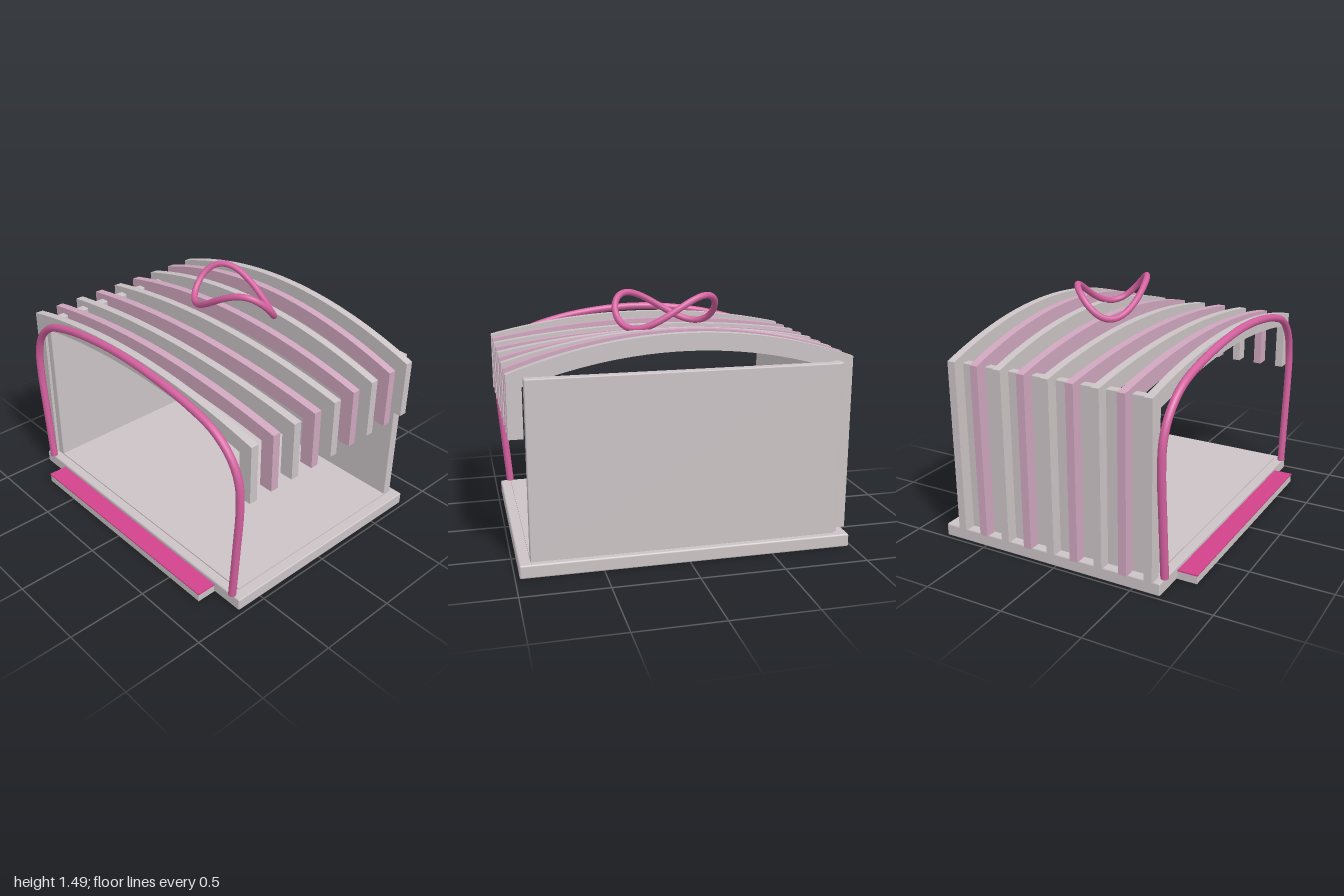
import * as THREE from 'three';
import { RoundedBoxGeometry } from 'three/addons/geometries/RoundedBoxGeometry.js';

export function createModel() {
  const model = new THREE.Group();
  const mat = (name, color) => {
    const m = new THREE.MeshStandardMaterial({ color });
    m.name = name;
    return m;
  };
  const grey = mat('warm grey', 0xcbc3c5);
  const mauve = mat('pale mauve', 0xcfa6be);
  const rose = mat('rose pink', 0xd3609e);
  const magenta = mat('deep pink', 0xd3428b);

  const add = (name, geometry, material) => {
    const mesh = new THREE.Mesh(geometry, material);
    mesh.name = name;
    model.add(mesh);
    return mesh;
  };
  // Box given by its limits, with slightly eased edges when r > 0
  const block = (name, material, [x0, x1], [y0, y1], [z0, z1], r = 0.006) => {
    const size = [x1 - x0, y1 - y0, z1 - z0];
    const g = r ? new RoundedBoxGeometry(...size, 1, r) : new THREE.BoxGeometry(...size);
    g.translate((x0 + x1) / 2, (y0 + y1) / 2, (z0 + z1) / 2);
    return add(name, g, material);
  };

  // Base, floor and walls
  block('base', grey, [-0.98, 0.975], [0, 0.08], [-0.79, 0.675], 0.01);
  block('floorPanel', grey, [-0.88, 0.91], [0.07, 0.088], [-0.7, 0.617], 0);
  block('backWall', grey, [-0.9, 0.91], [0.075, 1.117], [-0.75, -0.69]);
  block('sideWall', grey, [-0.925, -0.87], [0.075, 1.117], [-0.73, 0.617]);

  // Front doorstep with its coloured mat
  block('step', grey, [-0.765, 0.765], [0, 0.05], [0.66, 0.795], 0);
  block('stepMat', magenta, [-0.768, 0.768], [0.05, 0.058], [0.675, 0.798], 0);

  // Roof ribs: a long leg on one side, a short one on the other
  const ribGeometry = (crown) => {
    const under = crown - 0.1;
    const s = new THREE.Shape();
    s.moveTo(-1, 0.08);
    s.lineTo(-0.922, 0.08);
    s.lineTo(-0.915, 1.06);
    s.quadraticCurveTo(0, 2 * under - 1.06, 0.915, 1.06);
    s.lineTo(0.915, 0.77);
    s.lineTo(1, 0.77);
    s.lineTo(1, 1.13);
    s.quadraticCurveTo(0, 2 * crown - 1.135, -1, 1.14);
    s.closePath();
    const g = new THREE.ExtrudeGeometry(s, { depth: 0.05, bevelEnabled: false, curveSegments: 24 });
    return g.translate(0, 0, -0.025);
  };
  const crowns = [1.25, 1.226, 1.213, 1.216, 1.233, 1.259, 1.288, 1.309, 1.315];
  crowns.forEach((crown, i) => {
    const rib = add(`roofRib${i + 1}`, ribGeometry(crown), i % 2 ? mauve : grey);
    rib.position.z = 0.61 - i * 0.1575;
  });

  // Hoop around the front opening, mirrored about the middle
  const half = [
    [-0.91, 0.08, 0.668], [-0.938, 0.42, 0.668], [-0.96, 0.74, 0.668], [-0.947, 0.9, 0.669],
    [-0.888, 1.027, 0.673], [-0.765, 1.135, 0.678], [-0.578, 1.2, 0.684], [-0.31, 1.25, 0.692],
  ];
  const hoopPoints = [...half, [0, 1.272, 0.696], ...half.map(([x, y, z]) => [-x, y, z]).reverse()]
    .map((p) => new THREE.Vector3(...p));
  const hoopCurve = new THREE.CatmullRomCurve3(hoopPoints);
  add('frontHoop', new THREE.TubeGeometry(hoopCurve, 80, 0.024, 12), rose);
  // Flat ends of the hoop
  for (const side of [-1, 1]) {
    const cap = add('hoopEnd', new THREE.CircleGeometry(0.024, 12), rose);
    cap.rotation.x = Math.PI / 2;
    cap.position.set(side * 0.91, 0.081, 0.668);
  }

  // Saddle-shaped bow floating over the roof
  const bowPoints = [];
  for (let i = 0; i < 32; i++) {
    const t = (i / 32) * Math.PI * 2;
    bowPoints.push(new THREE.Vector3(
      0.306 * Math.cos(t), 1.375 + 0.092 * Math.sin(2 * t), -0.17 + 0.174 * Math.sin(t)));
  }
  const bowCurve = new THREE.CatmullRomCurve3(bowPoints, true);
  add('roofBow', new THREE.TubeGeometry(bowCurve, 96, 0.02, 12, true), rose);

  return model;
}
